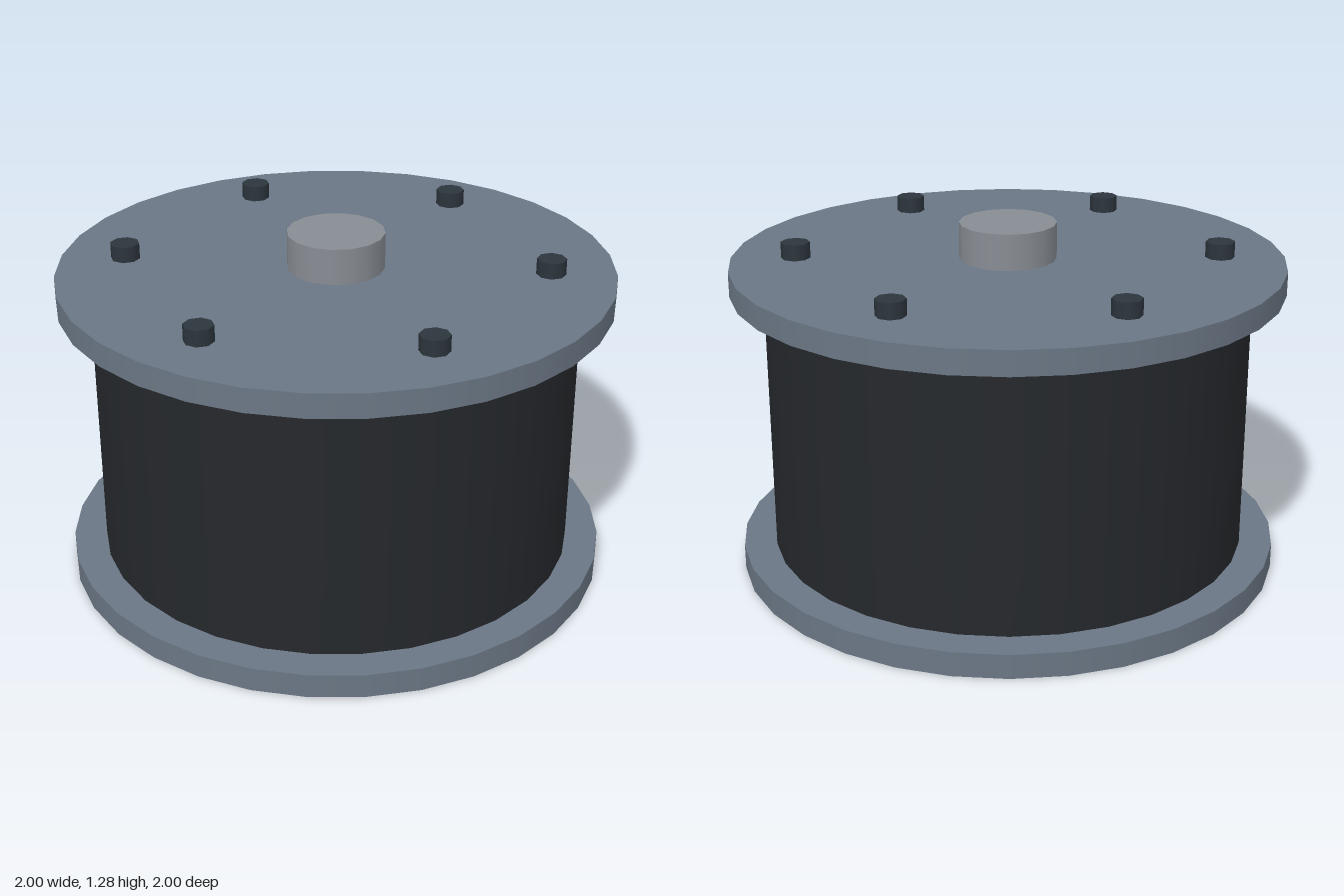
import * as THREE from 'three';

const material = (color) => new THREE.MeshStandardMaterial({ color });

export function createModel() {
  const group = new THREE.Group();
  const steel = material(0x6b7785);
  const winding = material(0x25282c);
  const hubMetal = material(0x888d94);
  const boltMetal = material(0x2c353d);

  // Upright cylinder between two heights
  const drum = (name, radius, bottom, top, sides, mat, x = 0, z = 0) => {
    const geometry = new THREE.CylinderGeometry(radius, radius, top - bottom, sides);
    const mesh = new THREE.Mesh(geometry, mat);
    mesh.name = name;
    mesh.position.set(x, (bottom + top) / 2, z);
    group.add(mesh);
  };

  // Spool body: two flanges around a core
  drum('bottomFlange', 1, 0, 0.09, 32, steel);
  drum('core', 0.88, 0.09, 1.062, 32, winding);
  drum('topFlange', 1, 1.062, 1.15, 32, steel);

  // Central hub on the top flange
  drum('hub', 0.176, 1.15, 1.282, 16, hubMetal);

  // Ring of six bolts
  for (let i = 0; i < 6; i++) {
    const a = (i * Math.PI) / 3;
    drum(`bolt${i + 1}`, 0.053, 1.15, 1.208, 8, boltMetal, 0.765 * Math.cos(a), 0.765 * Math.sin(a));
  }

  return group;
}
